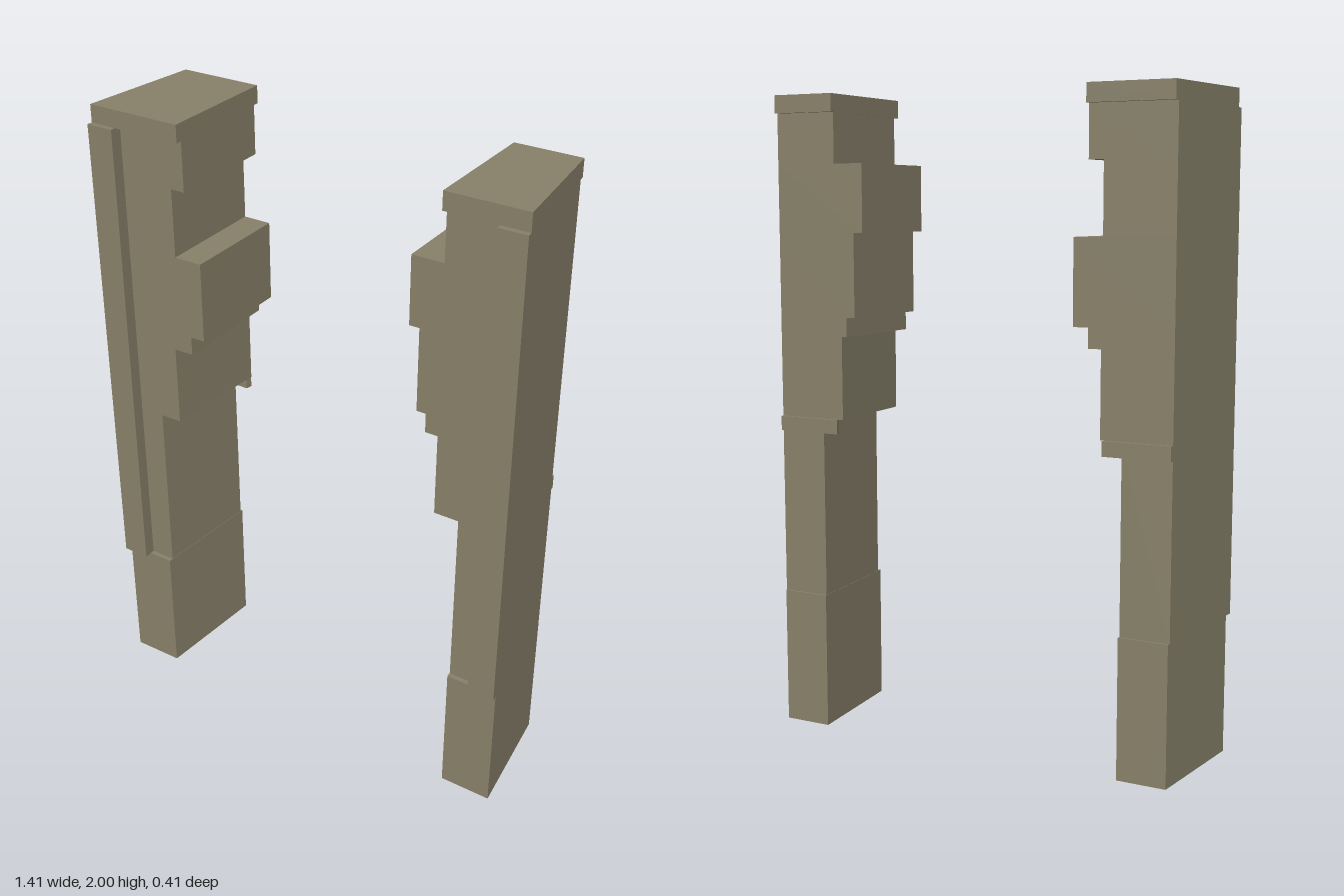
import * as THREE from 'three';

export function createModel() {
  const model = new THREE.Group();
  const stone = new THREE.MeshStandardMaterial({ color: 0x878069 });
  stone.name = 'weathered stone';

  // outer faces splay: wider at the front than at the back
  const outerX = (z) => 0.683 + 0.112 * z;

  // horizontal slab; inner edge may splay from front to back
  function block(name, side, y0, y1, innerFront, innerBack, zFront, zBack, inset = 0) {
    const shape = new THREE.Shape([
      [innerFront, zFront],
      [outerX(zFront) - inset, zFront],
      [outerX(zBack) - inset, zBack],
      [innerBack, zBack],
    ].map(([x, z]) => new THREE.Vector2(side * x, -z)));
    const geo = new THREE.ExtrudeGeometry(shape, { depth: y1 - y0, bevelEnabled: false });
    geo.rotateX(-Math.PI / 2).translate(0, y0, 0);
    const mesh = new THREE.Mesh(geo, stone);
    mesh.name = name;
    return mesh;
  }

  // stepped inner courses: [bottom, top, inner x at front, inner x at back]
  const courses = {
    right: [
      [1.0, 1.26, 0.465, 0.44],
      [1.26, 1.32, 0.40, 0.40],
      [1.32, 1.575, 0.352, 0.352],
      [1.575, 1.79, 0.443, 0.443],
      [1.79, 1.945, 0.397, 0.397],
    ],
    left: [
      [1.0, 1.26, 0.457, 0.435],
      [1.26, 1.32, 0.417, 0.417],
      [1.32, 1.58, 0.387, 0.387],
      [1.58, 1.79, 0.355, 0.355],
      [1.79, 1.945, 0.455, 0.455],
    ],
  };

  for (const [label, side, capInner] of [['right', -1, 0.395], ['left', 1, 0.453]]) {
    const pillar = new THREE.Group();
    pillar.name = label + 'Pillar';
    pillar.add(
      block('base', side, 0, 0.43, 0.536, 0.505, 0.18, -0.195, 0.002),
      block('shaft', side, 0.43, 1.0, 0.536, 0.507, 0.165, -0.188),
      block('frontStrip', side, 0.43, 1.945, 0.618, 0.618, 0.204, 0.16),
      block('backLedge', side, 0.955, 1.0, 0.455, 0.45, -0.18, -0.2),
      block('cap', side, 1.945, 2.0, capInner, capInner, 0.187, -0.204),
    );
    courses[label].forEach(([y0, y1, f, b], i) =>
      pillar.add(block('course' + (i + 1), side, y0, y1, f, b, 0.165, -0.188)));
    model.add(pillar);
  }
  return model;
}
